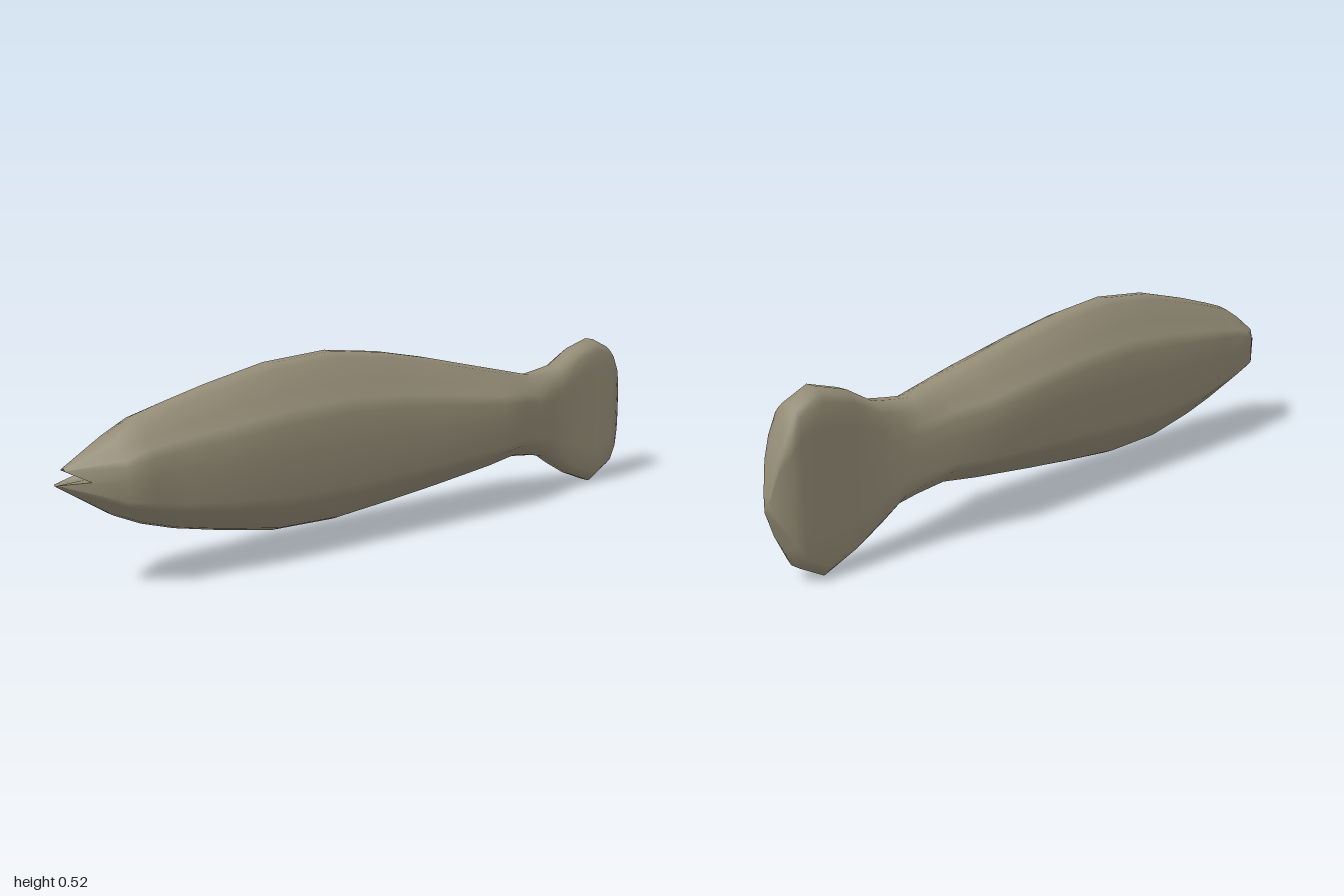
import * as THREE from 'three';

// Sections along the fish: x, bottom y, top y, half width, tail blend (0 = body, 1 = tail)
const SECTIONS = [
  [-0.86, 0.186, 0.381, 0.093, 0], [-0.79, 0.154, 0.418, 0.097, 0],
  [-0.7, 0.126, 0.443, 0.102, 0], [-0.58, 0.1, 0.473, 0.118, 0],
  [-0.4, 0.067, 0.511, 0.12, 0], [-0.2, 0.062, 0.525, 0.12, 0],
  [-0.02, 0.078, 0.505, 0.12, 0], [0.15, 0.096, 0.473, 0.12, 0],
  [0.37, 0.123, 0.424, 0.119, 0], [0.48, 0.138, 0.4, 0.09, 0.15],
  [0.57, 0.128, 0.38, 0.072, 0.35], [0.63, 0.118, 0.387, 0.061, 0.6],
  [0.69, 0.08, 0.396, 0.052, 0.8], [0.77, 0.036, 0.44, 0.048, 1],
  [0.86, 0.001, 0.465, 0.046, 1], [0.93, 0.04, 0.434, 0.045, 1],
  [0.955, 0.092, 0.378, 0.042, 1], [0.98, 0.148, 0.32, 0.027, 1],
  [0.998, 0.185, 0.235, 0.013, 1],
];

// Half outlines from top to bottom: share of height, share of half width
const BODY = [[0, 0.12], [0.03, 0.375], [0.16, 0.6], [0.25, 0.87], [0.325, 1],
  [0.5, 1], [0.75, 1], [0.82, 0.87], [0.975, 0.38], [1, 0.15]];
const TAIL = [[0, 0.35], [0.03, 0.68], [0.07, 1], [0.2, 1], [0.325, 1],
  [0.5, 1], [0.75, 1], [0.93, 1], [0.97, 0.68], [1, 0.35]];

// Mirror a half outline of [x, y, z] points into a closed ring about z = centre
function mirrorRing(half, centre) {
  const left = half.map(([x, y, z]) => new THREE.Vector3(x, y, centre + z));
  const right = half.map(([x, y, z]) => new THREE.Vector3(x, y, centre - z)).reverse();
  return [...left, ...right];
}

function sectionRing([x, bottom, top, width, blend]) {
  const half = BODY.map(([t, w], i) => [
    x,
    THREE.MathUtils.lerp(top, bottom, THREE.MathUtils.lerp(t, TAIL[i][0], blend)),
    width * THREE.MathUtils.lerp(w, TAIL[i][1], blend),
  ]);
  return mirrorRing(half, -0.006 * blend);
}

// Upper and lower lips meet at the corner of the mouth
function lipRing() {
  const half = BODY.map(([t, w], i) => {
    if (i < 5) return [-0.98, 0.318 - t * 0.018, 0.012 * w];
    if (i === 5) return [-0.93, 0.285, 0.047];
    return [-1, 0.281 - (t - 0.75) * 0.016, 0.008 * w];
  });
  return mirrorRing(half, 0);
}

function buildGeometry(points, index) {
  const geometry = new THREE.BufferGeometry().setFromPoints(points);
  geometry.setIndex(index);
  geometry.computeVertexNormals();
  return geometry;
}

// Skin lofted through all rings and closed at the tail edge
function loft(rings) {
  const n = rings[0].length;
  const points = rings.flat();
  const index = [];
  for (let i = 0; i < rings.length - 1; i++) {
    for (let j = 0; j < n; j++) {
      const a = i * n + j, b = i * n + (j + 1) % n;
      index.push(a, b, a + n, b, b + n, a + n);
    }
  }
  const last = (rings.length - 1) * n;
  points.push(new THREE.Vector3(1, 0.21, -0.006));
  for (let j = 0; j < n; j++) index.push(points.length - 1, last + j, last + (j + 1) % n);
  return buildGeometry(points, index);
}

// Inside of the open mouth, a fan from its back point to the lips
function mouthFan(ring) {
  const n = ring.length;
  const index = [];
  for (let j = 0; j < n; j++) index.push(n, (j + 1) % n, j);
  return buildGeometry([...ring, new THREE.Vector3(-0.89, 0.284, 0)], index);
}

export function createModel() {
  const model = new THREE.Group();
  model.name = 'fish';
  const skin = new THREE.MeshStandardMaterial({ color: 0x938b75 });
  skin.name = 'olive grey skin';

  const lips = lipRing();
  const body = new THREE.Mesh(loft([lips, ...SECTIONS.map(sectionRing)]), skin);
  body.name = 'bodyAndTail';
  const mouth = new THREE.Mesh(mouthFan(lips), skin);
  mouth.name = 'mouth';

  model.add(body, mouth);
  return model;
}
